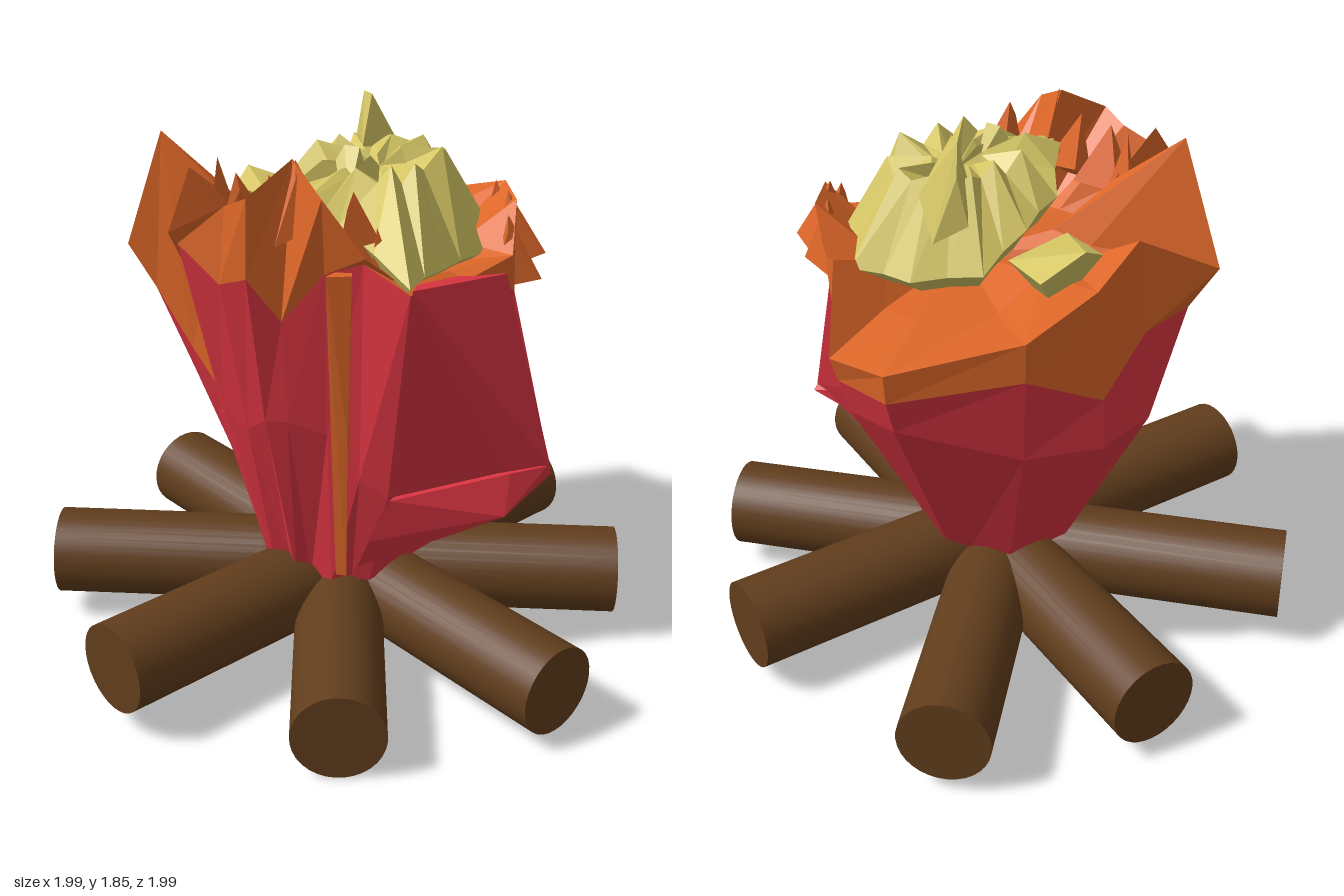
import * as THREE from 'three';
import { ConvexGeometry } from 'three/addons/geometries/ConvexGeometry.js';

const V = (x, y, z) => new THREE.Vector3(x, y, z);
const paint = (color) => new THREE.MeshStandardMaterial({ color, flatShading: true, side: THREE.DoubleSide });
const RED = paint(0xdc3542), ORANGE = paint(0xdc6628), YELLOW = paint(0xd4c564);
const WOOD = new THREE.MeshStandardMaterial({ color: 0x613d1c });

function seeded(seed) {
  return () => (seed = (seed * 16807) % 2147483647) / 2147483647;
}

// Skin between closed rings of points, each running anticlockwise seen from above
function loft(rings) {
  const pos = [], n = rings[0].length;
  const tri = (...pts) => pts.forEach((p) => pos.push(p.x, p.y, p.z));
  for (let k = 0; k + 1 < rings.length; k++) {
    const a = rings[k], b = rings[k + 1];
    for (let i = 0; i < n; i++) {
      const j = (i + 1) % n;
      tri(a[i], a[j], b[j]);
      tri(a[i], b[j], b[i]);
    }
  }
  const geo = new THREE.BufferGeometry();
  geo.setAttribute('position', new THREE.Float32BufferAttribute(pos, 3));
  geo.computeVertexNormals();
  return geo;
}

// Angle from the front, then radius and height of: red bulge, red/orange border, orange tip
const COLUMNS = [
  [-8, .45, .95, .59, 1.53, .62, 1.57],
  [5, .43, .9, .53, 1.42, .5, 1.66],
  [15, .43, .95, .51, 1.45, .5, 1.7],
  [24, .4, .95, .43, 1.3, .34, 1.79],
  [42, .36, .9, .41, 1.46, .46, 1.71],
  [58, .38, .75, .43, 1.5, .47, 1.53],
  [70, .42, .69, .57, 1.44, .5, 1.45],
  [108, .46, .71, .46, 1.38, .4, 1.4],
  [127, .72, .67, .57, 1.3, .56, 1.42],
  [142, .4, .75, .56, 1.3, .57, 1.56],
  [160, .42, .8, .57, 1.38, .59, 1.57],
  [183, .5, .85, .62, 1.3, .61, 1.49],
  [196, .68, 1.05, .72, 1.18, .75, 1.27],
  [213, .73, 1.08, .77, 1.2, .78, 1.3],
  [245, .62, .95, .66, 1.25, .66, 1.38],
  [270, .61, .93, .6, 1.1, .55, 1.45],
  [290, .6, .95, .57, 1.25, .53, 1.55],
  [312, .5, .95, .62, 1.24, .71, 1.39],
  [317, .42, .82, .5, 1.05, .57, 1.79],
  [330, .36, .81, .36, .84, .36, 1.6],
  [341, .42, .9, .52, 1.4, .5, 1.73],
];

// Ragged yellow rim: x, height, z
const RIM = [
  [.13, 1.64, .28], [.22, 1.58, .2], [.56, 1.47, .22], [.42, 1.43, -.05], [.33, 1.4, -.33], [.2, 1.45, -.47],
  [-.02, 1.44, -.55], [-.18, 1.43, -.43], [-.31, 1.46, -.25], [-.28, 1.56, -.08], [-.2, 1.6, .08], [.03, 1.66, .24],
];

export function createModel() {
  const model = new THREE.Group();
  const add = (name, geo, mat, parent = model) => {
    const mesh = new THREE.Mesh(geo, mat);
    mesh.name = name;
    parent.add(mesh);
    return mesh;
  };
  const hull = (name, pts, mat, parent) => add(name, new ConvexGeometry(pts.map((p) => V(...p))), mat, parent);

  // Four logs crossing under the fire
  const logs = new THREE.Group();
  logs.name = 'logs';
  model.add(logs);
  const ends = [
    [V(-.995, .2, -.04), V(.995, .183, -.04)],
    [V(-.015, .22, -.995), V(.035, .234, .99)],
    [V(-.8, .198, -.69), V(.69, .151, .61)],
    [V(-.73, .222, .7), V(.65, .202, -.72)],
  ];
  for (const [a, b] of ends) {
    const log = add('log', new THREE.CylinderGeometry(.151, .151, a.distanceTo(b), 32), WOOD, logs);
    log.position.copy(a).lerp(b, .5);
    log.quaternion.setFromUnitVectors(V(0, 1, 0), b.clone().sub(a).normalize());
  }

  // Faceted red body flaring upwards from the logs
  const ring = (f) => COLUMNS.map((c, i) => {
    const t = THREE.MathUtils.degToRad(c[0]), [r, y] = f(c, i);
    return V(Math.sin(t) * r, y, Math.cos(t) * r);
  });
  const border = ring((c) => [c[3], c[4]]);
  add('redFlame', loft([
    ring(() => [.01, .25]), ring((c, i) => [i % 2 ? .24 : .27, .3]), ring((c) => [c[1], c[2]]), border,
  ]), RED);

  // Slanted panel and bent lip on the model's left side
  hull('redPanel', [
    [.55, 1.46, .2], [.39, .69, .14], [.54, .72, -.25], [.58, .68, -.43], [.46, 1.37, -.3], [.3, 1.38, -.1], [.35, .8, -.2],
  ], RED);
  hull('redLip', [
    [.31, .42, .2], [.28, .43, -.15], [.38, .55, .21], [.41, .69, .15], [.56, .71, -.25],
    [.59, .58, -.2], [.59, .7, -.4], [.57, .65, -.45], [.3, .68, -.1],
  ], RED);

  // Jagged orange crown folding in towards the centre
  const rand = seeded(11);
  const tips = ring((c) => [c[5], c[6]]);
  const core = V(.03, 1.36, -.13);
  const inner = tips.map((p) => V(p.x, 0, p.z).lerp(core, .4)
    .setY(THREE.MathUtils.clamp(p.y - .06, 1.32, 1.4) + rand() * .04));
  add('orangeFlame', loft([border, tips, inner, tips.map(() => core)]), ORANGE);

  // Thin orange streak running down the front
  hull('orangeStreak', [
    [.25, .38, .24], [.28, .38, .22], [.31, 1.47, .33], [.36, 1.47, .27], [.28, 1.47, .2], [.32, .9, .25],
  ], ORANGE);

  // Small broken shards along the front and back of the crown
  const shards = new THREE.Group();
  shards.name = 'orangeShards';
  model.add(shards);
  const spots = [
    [-.17, 1.74, .36], [-.05, 1.72, .38], [.06, 1.73, .34], [.15, 1.79, .31],
    [.31, 1.71, .22], [.36, 1.6, .17], [.38, 1.53, -.38], [.31, 1.58, -.45], [.2, 1.58, -.51],
  ];
  for (const [x, y, z] of spots) {
    const s = () => (rand() - .5) * .07;
    const w = .07;
    hull('shard', [
      [x, y, z], [x + s() * .7, y - .05, z + s() * .7],
      [x - w + s(), y - .2 + s(), z - w + s()], [x + w + s(), y - .22 + s(), z - w + s()],
      [x + s(), y - .25 + s(), z + w + s()],
    ], ORANGE, shards);
  }

  // Crumpled yellow heart
  const rim = RIM.map((p) => V(...p));
  const centre = V(.03, 1.66, -.14);
  const crest = [], dip = [], finer = [];
  rim.forEach((p, i) => {
    const q = p.clone().lerp(rim[(i + 1) % rim.length], .5);
    q.lerp(V(centre.x, q.y, centre.z), .04);
    finer.push(p, q);
  });
  finer.forEach((p, i) => {
    const reach = Math.min(1, .42 / Math.hypot(p.x - centre.x, p.z - centre.z));
    const height = i % 2 ? 1.66 + rand() * .04 : 1.7 + rand() * .05;
    crest.push(centre.clone().lerp(p, reach * (.52 + rand() * .12)).setY(height));
    dip.push(centre.clone().lerp(p, reach * .24).setY(1.62 + rand() * .1));
  });
  add('yellowFlame', loft([
    finer.map((p) => V(p.x, p.y - .06, p.z).lerp(core, .2)), finer, crest, dip, finer.map(() => centre),
  ]), YELLOW);

  // Tall yellow tip, small tip and a patch on the model's right
  hull('yellowTip', [
    [-.18, 1.85, -.26], [-.13, 1.85, -.25], [-.21, 1.75, -.28], [-.24, 1.6, -.26],
    [-.1, 1.68, -.18], [-.08, 1.66, -.34], [-.2, 1.55, -.36],
  ], YELLOW);
  hull('yellowSpark', [[.04, 1.76, .02], [.09, 1.76, 0], [.01, 1.62, .1], [.13, 1.62, .08], [.06, 1.6, -.08]], YELLOW);
  hull('yellowPatch', [
    [-.51, 1.57, -.02], [-.5, 1.5, -.17], [-.32, 1.5, -.17], [-.29, 1.52, .06], [-.47, 1.52, .07], [-.4, 1.33, -.05],
  ], YELLOW);

  return model;
}
